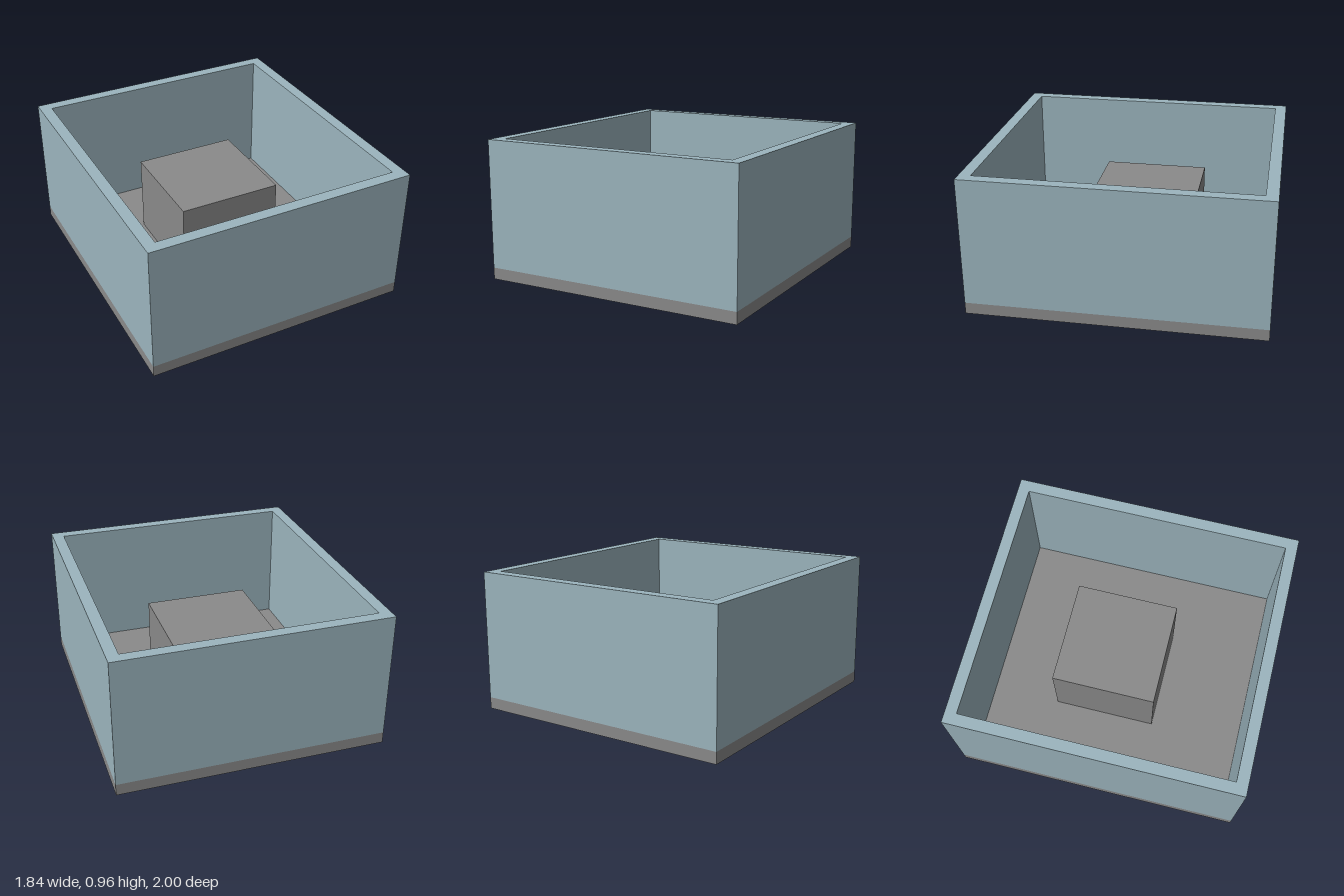
import * as THREE from 'three';

const grey = new THREE.MeshStandardMaterial({ color: 0x8a8a8a });
grey.name = 'stone grey';
const blue = new THREE.MeshStandardMaterial({ color: 0x9cb5be });
blue.name = 'pale blue';

const W = 1.84, D = 2, H = 0.96; // outer size
const WALL = 0.08, FLOOR = 0.08;
const BLOCK = 0.72, BLOCK_TOP = 0.633;

function rectangle(target, w, d) {
  target.moveTo(-w / 2, -d / 2);
  target.lineTo(w / 2, -d / 2);
  target.lineTo(w / 2, d / 2);
  target.lineTo(-w / 2, d / 2);
  target.closePath();
  return target;
}

function box(name, w, h, d, y, z) {
  const mesh = new THREE.Mesh(new THREE.BoxGeometry(w, h, d), grey);
  mesh.name = name;
  mesh.position.set(0, y + h / 2, z);
  return mesh;
}

export function createModel() {
  const model = new THREE.Group();
  model.name = 'openBox';

  // Floor slab
  model.add(box('floor', W, FLOOR, D, 0, 0));

  // Four walls as one hollow frame
  const frame = rectangle(new THREE.Shape(), W, D);
  frame.holes.push(rectangle(new THREE.Path(), W - 2 * WALL, D - 2 * WALL));
  const wallGeometry = new THREE.ExtrudeGeometry(frame, { depth: H - FLOOR, bevelEnabled: false });
  wallGeometry.rotateX(-Math.PI / 2);
  const walls = new THREE.Mesh(wallGeometry, blue);
  walls.name = 'walls';
  walls.position.y = FLOOR;
  model.add(walls);

  // Square block standing on the floor, set slightly back
  model.add(box('centreBlock', BLOCK, BLOCK_TOP - FLOOR, BLOCK, FLOOR, -0.08));

  return model;
}
